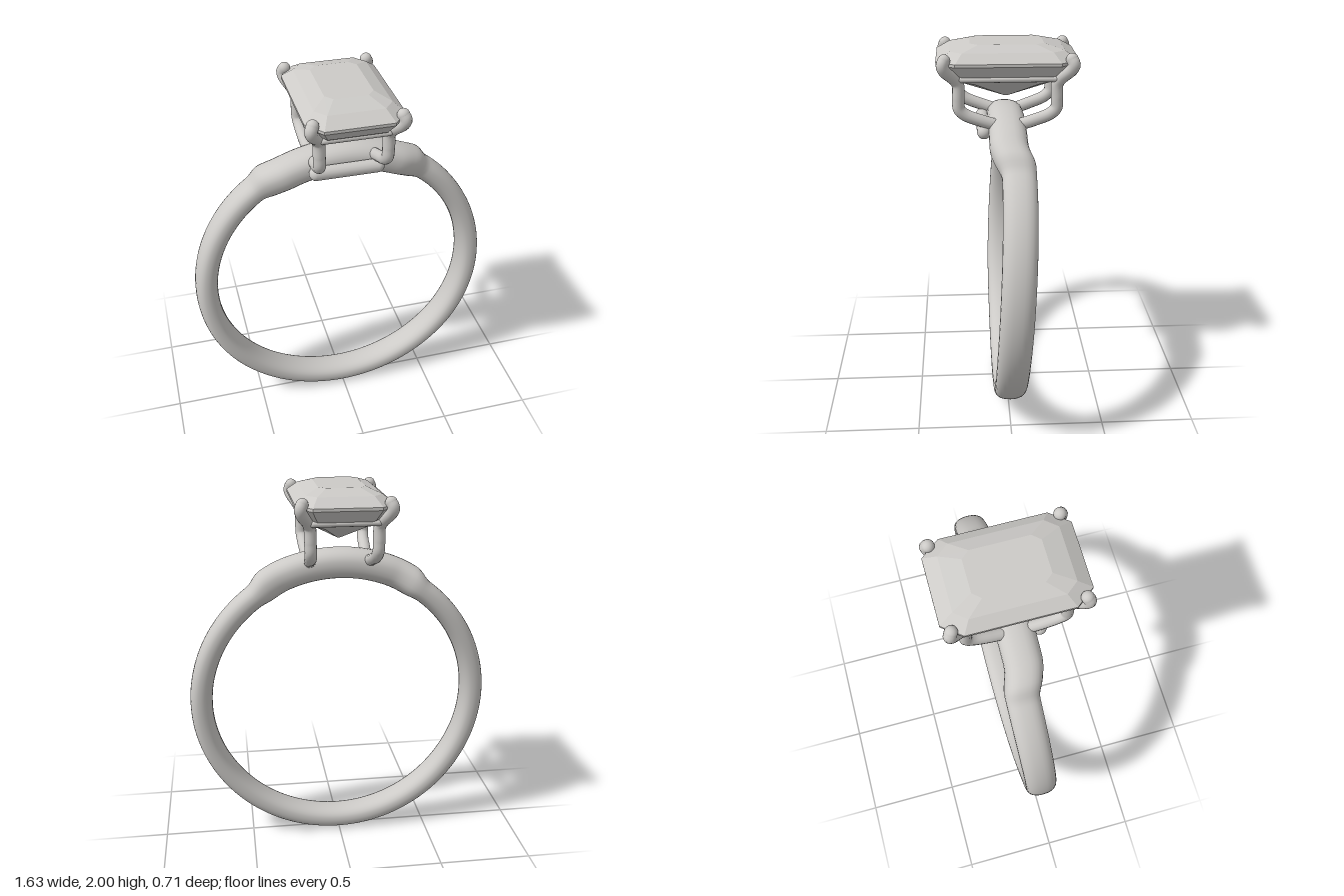
import * as THREE from 'three';

const smooth = (a, b, t) => THREE.MathUtils.smoothstep(t, a, b);

// Closed shank: an oval section swept round the finger, thicker over the shoulders.
function bandGeometry() {
  const rings = 240, sides = 28, pos = [], idx = [];
  for (let i = 0; i < rings; i++) {
    const a = (i / rings) * Math.PI * 2;
    const deg = THREE.MathUtils.radToDeg(Math.min(a, Math.PI * 2 - a));
    const thick = 1 - smooth(30, 37, deg);
    const centre = 0.756 + 0.009 * thick;
    const radial = 0.06 + 0.02 * thick;
    const half = 0.085 + 0.012 * thick;
    const shift = -0.042 * (1 - smooth(35, 130, deg)) * smooth(22, 37, deg);
    for (let j = 0; j < sides; j++) {
      const b = (j / sides) * Math.PI * 2, c = Math.cos(b), s = Math.sin(b);
      const r = centre + radial * Math.sign(c) * Math.abs(c) ** 0.85;
      const z = shift + half * Math.sign(s) * Math.abs(s) ** 0.85;
      pos.push(Math.sin(a) * r, 0.816 + Math.cos(a) * r, z);
      const n = ((i + 1) % rings) * sides, m = i * sides, k = (j + 1) % sides;
      idx.push(m + j, m + k, n + j, n + j, m + k, n + k);
    }
  }
  const g = new THREE.BufferGeometry();
  g.setAttribute('position', new THREE.Float32BufferAttribute(pos, 3));
  g.setIndex(idx);
  g.computeVertexNormals();
  return g;
}

// Rectangle with cut corners, counter-clockwise seen from above.
function octagon(x, z, cx, cz, y) {
  return [
    [x, z - cz], [x, -z + cz], [x - cx, -z], [-x + cx, -z],
    [-x, -z + cz], [-x, z - cz], [-x + cx, z], [x - cx, z],
  ].map(([px, pz]) => new THREE.Vector3(px, y, pz));
}

// Step-cut stone: stacked octagons with flat facets, listed from top to bottom.
function stoneGeometry() {
  const levels = [
    octagon(0.12, 0.185, 0.035, 0.04, 2.0),
    octagon(0.19, 0.285, 0.05, 0.06, 1.973),
    octagon(0.245, 0.355, 0.075, 0.095, 1.93),
    octagon(0.245, 0.355, 0.075, 0.095, 1.915),
    octagon(0.205, 0.31, 0.06, 0.08, 1.86),
    octagon(0.135, 0.225, 0.04, 0.06, 1.805),
    octagon(0.004, 0.012, 0.001, 0.003, 1.715),
  ];
  const pos = [];
  const tri = (...p) => p.forEach((v) => pos.push(v.x, v.y, v.z));
  for (let l = 0; l < levels.length - 1; l++) {
    for (let i = 0; i < 8; i++) {
      const k = (i + 1) % 8, up = levels[l], low = levels[l + 1];
      tri(up[i], low[i], low[k]);
      tri(up[i], low[k], up[k]);
    }
  }
  const top = levels[0], bottom = levels[levels.length - 1];
  for (let i = 1; i < 7; i++) {
    tri(top[0], top[i], top[i + 1]);
    tri(bottom[0], bottom[i + 1], bottom[i]);
  }
  const g = new THREE.BufferGeometry();
  g.setAttribute('position', new THREE.Float32BufferAttribute(pos, 3));
  g.computeVertexNormals();
  return g;
}

export function createModel() {
  const model = new THREE.Group();
  model.name = 'ring';
  const metal = new THREE.MeshStandardMaterial({ color: 0xcccac7 });
  metal.name = 'pale grey';

  const add = (name, geometry, parent = model) => {
    const mesh = new THREE.Mesh(geometry, metal);
    mesh.name = name;
    parent.add(mesh);
    return mesh;
  };

  add('band', bandGeometry());
  add('stone', stoneGeometry());

  // Four claws rising from the shoulders and curling over the stone's corners
  const clawPath = [
    [0.155, 1.595, 0.04], [0.163, 1.625, 0.13], [0.167, 1.66, 0.215], [0.17, 1.69, 0.244],
    [0.172, 1.74, 0.247], [0.174, 1.815, 0.247], [0.185, 1.845, 0.265],
    [0.219, 1.895, 0.312], [0.226, 1.922, 0.322], [0.216, 1.945, 0.312],
  ];
  for (const sx of [1, -1]) {
    for (const sz of [1, -1]) {
      const claw = new THREE.Group();
      claw.name = (sz > 0 ? 'front' : 'back') + (sx > 0 ? 'Left' : 'Right') + 'Claw';
      const pts = clawPath.map(([x, y, z]) => new THREE.Vector3(x * sx, y, z * sz));
      const curve = new THREE.CatmullRomCurve3(pts, false, 'centripetal');
      add('clawWire', new THREE.TubeGeometry(curve, 60, 0.031, 14), claw);
      add('clawTip', new THREE.SphereGeometry(0.031, 16, 12), claw).position.copy(pts[pts.length - 1]);
      model.add(claw);
    }
  }

  // Thin rail under the stone that ties the claws together
  const railPath = new THREE.CatmullRomCurve3(octagon(0.19, 0.285, 0.03, 0.03, 1.842), true, 'catmullrom', 0.05);
  add('rail', new THREE.TubeGeometry(railPath, 200, 0.015, 10, true));

  // Small rounded bar on the front of the band between the claw feet
  const bar = add('frontBar', new THREE.CapsuleGeometry(0.036, 0.32, 6, 16));
  bar.rotation.z = Math.PI / 2;
  bar.position.set(0, 1.565, 0.12);

  return model;
}
